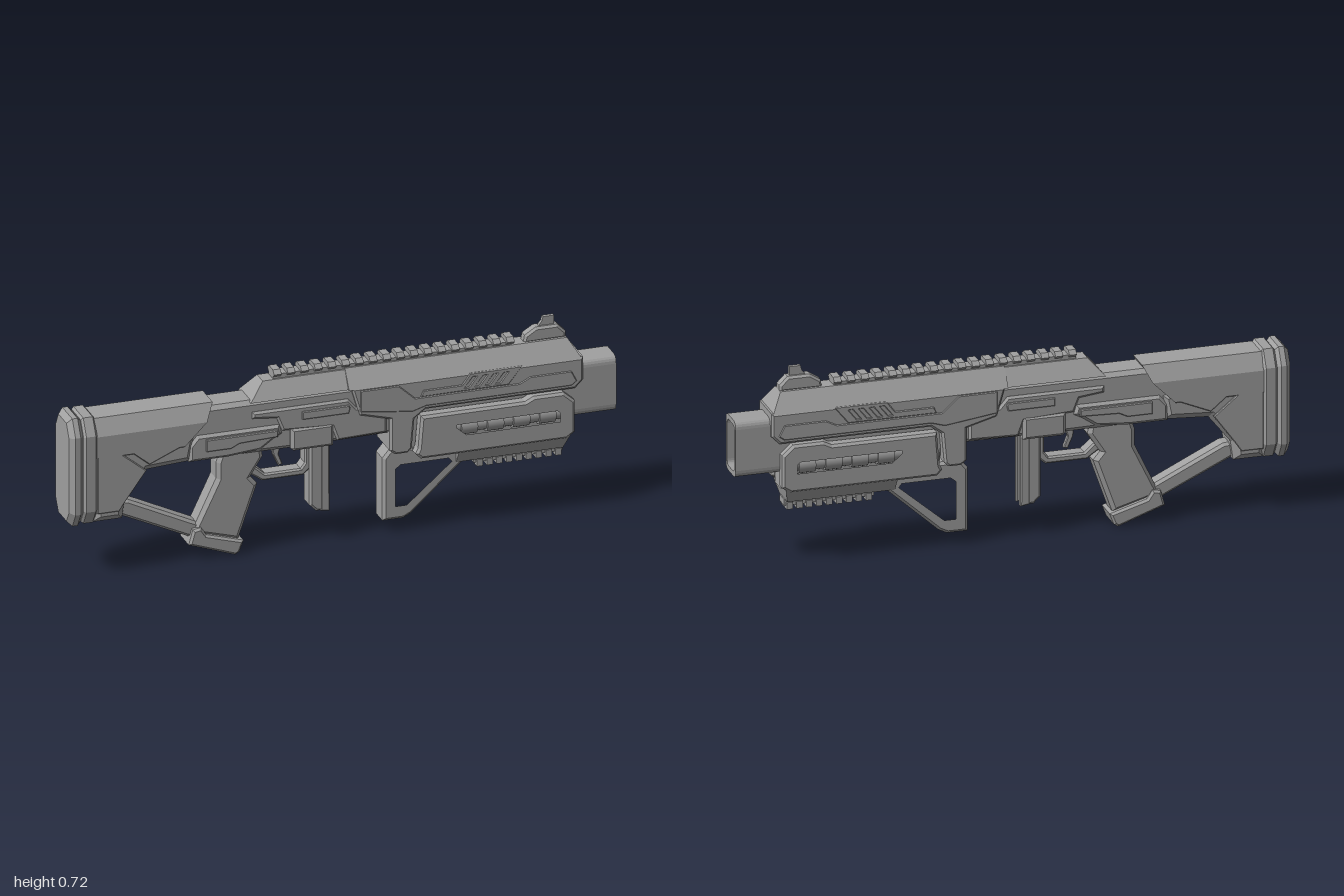
import * as THREE from 'three';

const gray = new THREE.MeshStandardMaterial({ color: 0xa0a0a0 });
gray.name = 'gunmetal gray';

const toShape = (pts, holes = []) => {
  const s = new THREE.Shape(pts.map(p => new THREE.Vector2(...p)));
  holes.forEach(h => s.holes.push(new THREE.Path(h.map(p => new THREE.Vector2(...p)))));
  return s;
};

// Extrusion with a chamfer that stays inside the outline, centred on z
function extrude(shape, half, bevel) {
  const g = new THREE.ExtrudeGeometry(shape, {
    depth: 2 * (half - bevel), bevelEnabled: bevel > 0, bevelThickness: bevel,
    bevelSize: bevel, bevelOffset: -bevel, bevelSegments: 1, curveSegments: 5,
  });
  return g.translate(0, 0, bevel - half);
}

// Box that narrows from a bottom rectangle to a top rectangle: [x0, x1, y, halfZ]
function frustum(a, b) {
  const g = new THREE.BoxGeometry(1, 1, 1).toNonIndexed();
  const p = g.attributes.position;
  for (let i = 0; i < p.count; i++) {
    const e = p.getY(i) < 0 ? a : b;
    p.setXYZ(i, p.getX(i) < 0 ? e[0] : e[1], e[2], Math.sign(p.getZ(i)) * e[3]);
  }
  g.computeVertexNormals();
  return g;
}

function roundedRect(hw, y0, y1, r, Type = THREE.Shape) {
  const s = new Type();
  s.moveTo(-hw + r, y0);
  s.lineTo(hw - r, y0);
  s.quadraticCurveTo(hw, y0, hw, y0 + r);
  s.lineTo(hw, y1 - r);
  s.quadraticCurveTo(hw, y1, hw - r, y1);
  s.lineTo(-hw + r, y1);
  s.quadraticCurveTo(-hw, y1, -hw, y1 - r);
  s.lineTo(-hw, y0 + r);
  s.quadraticCurveTo(-hw, y0, -hw + r, y0);
  return s;
}

export function createModel() {
  const model = new THREE.Group();
  const add = (name, geo) => {
    const m = new THREE.Mesh(geo, gray);
    m.name = name;
    model.add(m);
    return m;
  };
  // Side profile in x, y
  const slab = (name, pts, half, bevel = 0.01, holes = []) =>
    add(name, extrude(toShape(pts, holes), half, bevel));
  // Section in z, y swept from x0 to x1
  const sweep = (name, shape, x0, x1, bevel = 0) =>
    add(name, extrude(shape, (x1 - x0) / 2, bevel).rotateY(Math.PI / 2).translate((x0 + x1) / 2, 0, 0));
  const box = (name, x0, x1, y0, y1, half) =>
    add(name, new THREE.BoxGeometry(x1 - x0, y1 - y0, half * 2).translate((x0 + x1) / 2, (y0 + y1) / 2, 0));
  // Thin plates mirrored on both sides
  const plates = (name, pts, z, t = 0.012, holes = []) => [1, -1].forEach(s =>
    add(name, extrude(toShape(pts, holes), t / 2, 0.003).translate(0, 0, s * (z + t / 2 - 0.003))));

  // Stock
  const section = (w, y0, y1, cz, c0, c1) => toShape([
    [-w + cz, y0], [w - cz, y0], [w, y0 + c0], [w, y1 - c1],
    [w - cz, y1], [-w + cz, y1], [-w, y1 - c1], [-w, y0 + c0]]);
  sweep('buttPad', section(0.088, 0.195, 0.6, 0.035, 0.055, 0.06), -1, -0.945, 0.018);
  sweep('buttPadCollar', section(0.088, 0.2, 0.598, 0.035, 0.055, 0.06), -0.95, -0.9, 0.008);
  const tube = sweep('stockUpper', section(0.082, 0.43, 0.59, 0.03, 0.02, 0.06), -0.905, -0.47);
  const tp = tube.geometry.attributes.position;
  for (let i = 0; i < tp.count; i++)
    if (tp.getX(i) > -0.6) tp.setX(i, -0.47 - Math.max(0, 0.56 - tp.getY(i)) * 1.0);
  tube.geometry.computeVertexNormals();
  slab('stockLower', [[-0.91, 0.5], [-0.62, 0.5], [-0.53, 0.48], [-0.55, 0.38], [-0.71, 0.37],
    [-0.79, 0.27], [-0.8, 0.2], [-0.91, 0.2]], 0.074, 0.025);
  plates('stockPanel', [[-0.9, 0.47], [-0.83, 0.47], [-0.72, 0.38], [-0.8, 0.27], [-0.82, 0.24], [-0.9, 0.24]], 0.073);
  plates('stockStripe', [[-0.8, 0.52], [-0.6, 0.5], [-0.54, 0.505], [-0.57, 0.46], [-0.71, 0.4], [-0.83, 0.5]], 0.073);
  slab('stockStrut', [[-0.83, 0.26], [-0.77, 0.255], [-0.51, 0.13], [-0.53, 0.075], [-0.83, 0.215]], 0.033);

  // Rear receiver
  slab('receiver', [[-0.62, 0.56], [-0.48, 0.575], [0.2, 0.575], [0.2, 0.38], [-0.2, 0.375],
    [-0.6, 0.38]], 0.06, 0.015);
  slab('receiverCheek', [[-0.33, 0.535], [0.02, 0.535], [0.05, 0.5], [0.16, 0.47], [0.16, 0.39],
    [-0.02, 0.385], [-0.04, 0.44], [-0.22, 0.45], [-0.24, 0.5], [-0.33, 0.51]], 0.069, 0.008);
  slab('gripFrame', [[-0.56, 0.44], [-0.53, 0.475], [-0.23, 0.475], [-0.22, 0.44], [-0.25, 0.425],
    [-0.3, 0.39], [-0.42, 0.38], [-0.56, 0.38]], 0.07, 0.01);
  plates('gripFrameBar', [[-0.5, 0.46], [-0.24, 0.46], [-0.24, 0.435], [-0.38, 0.43], [-0.41, 0.415], [-0.5, 0.415]], 0.069);
  plates('receiverBar', [[-0.15, 0.515], [0.02, 0.515], [0.025, 0.505], [0.02, 0.485], [-0.15, 0.485]], 0.068, 0.01);

  // Grip, trigger and guard
  slab('grip', [[-0.43, 0.41], [-0.29, 0.41], [-0.28, 0.35], [-0.325, 0.28], [-0.3, 0.25],
    [-0.37, 0.05], [-0.54, 0.1], [-0.45, 0.29], [-0.45, 0.35]], 0.042, 0.014);
  slab('gripBase', [[-0.555, 0.06], [-0.54, 0.115], [-0.51, 0.12], [-0.49, 0.09], [-0.355, 0.05],
    [-0.37, 0.01], [-0.385, 0]], 0.053, 0.008);
  slab('triggerGuard', [[-0.33, 0.29], [-0.28, 0.255], [-0.13, 0.255], [-0.1, 0.28], [-0.1, 0.39],
    [-0.125, 0.39], [-0.125, 0.3], [-0.14, 0.28], [-0.27, 0.28], [-0.31, 0.315]], 0.028, 0.006);
  slab('trigger', [[-0.24, 0.39], [-0.2, 0.39], [-0.215, 0.34], [-0.2, 0.3], [-0.215, 0.295], [-0.235, 0.34]], 0.01, 0.003);

  // Magazine
  slab('magazineWell', [[-0.19, 0.455], [-0.035, 0.455], [-0.035, 0.37], [-0.18, 0.37], [-0.19, 0.38]], 0.074, 0.01);
  slab('magazine', [[-0.11, 0.4], [-0.06, 0.4], [-0.06, 0.115], [-0.085, 0.115], [-0.11, 0.14]], 0.036, 0.008);
  [1, -1].forEach(s => add('magazineRib', extrude(toShape(
    [[-0.07, 0.4], [-0.037, 0.4], [-0.037, 0.11], [-0.07, 0.115]]), 0.011, 0.004).translate(0, 0, s * 0.024)));

  // Upper housing with sloping shoulders
  slab('housing', [[0.03, 0.575], [0.875, 0.575], [0.875, 0.49], [0.845, 0.46], [0.3, 0.46], [0.26, 0.43],
    [0.25, 0.32], [0.235, 0.305], [0.19, 0.305], [0.17, 0.32], [0.17, 0.44], [0.06, 0.47]], 0.076, 0.008);
  add('housingRoof', frustum([0.02, 0.87, 0.57, 0.075], [0.02, 0.83, 0.637, 0.03]));
  add('rearRoof', frustum([-0.335, 0.05, 0.57, 0.066], [-0.28, 0.05, 0.632, 0.03]));
  plates('housingPanel', [[0.06, 0.565], [0.2, 0.565], [0.26, 0.51], [0.64, 0.51], [0.68, 0.53], [0.83, 0.53],
    [0.85, 0.49], [0.83, 0.475], [0.3, 0.475], [0.25, 0.46], [0.06, 0.485]], 0.074, 0.008);
  plates('ventFrame', [[0.29, 0.535], [0.43, 0.535], [0.46, 0.575], [0.65, 0.575], [0.6, 0.512], [0.28, 0.512]], 0.075, 0.008,
    [0, 1, 2, 3].map(i => [[0.44, 0.523], [0.455, 0.523], [0.485, 0.56], [0.47, 0.56]].map(([x, y]) => [x + i * 0.038, y])));

  // Muzzle
  const muzzle = roundedRect(0.057, 0.345, 0.553, 0.028);
  muzzle.holes.push(roundedRect(0.041, 0.363, 0.535, 0.02, THREE.Path));
  sweep('muzzle', muzzle, 0.78, 1);
  box('muzzleBackWall', 0.76, 0.79, 0.36, 0.54, 0.05);

  // Handguard with a window onto a ringed tube
  slab('handguardCore', [[0.24, 0.46], [0.82, 0.46], [0.83, 0.28], [0.26, 0.28]], 0.04, 0.005);
  const windowHole = [[0.4, 0.4], [0.78, 0.4], [0.795, 0.385], [0.795, 0.34], [0.44, 0.34], [0.4, 0.375]];
  [1, -1].forEach(s => add('handguardSide', extrude(toShape([[0.28, 0.44], [0.66, 0.44], [0.69, 0.455], [0.8, 0.455],
    [0.84, 0.42], [0.84, 0.3], [0.81, 0.28], [0.28, 0.28], [0.26, 0.3], [0.27, 0.32]], [windowHole]),
  0.025, 0.009).translate(0, 0, s * 0.062)));
  plates('handguardLip', [[0.28, 0.335], [0.4, 0.335], [0.43, 0.31], [0.82, 0.31], [0.82, 0.295], [0.28, 0.295]], 0.083, 0.006);
  [1, -1].forEach(s => {
    const rod = (name, x0, x1, r) => add(name, new THREE.CylinderGeometry(r, r, x1 - x0, 20)
      .rotateZ(Math.PI / 2).translate((x0 + x1) / 2, 0.37, s * 0.043));
    rod('innerTube', 0.39, 0.8, 0.027);
    for (let i = 0; i < 4; i++) rod('innerRing', 0.43 + i * 0.095, 0.49 + i * 0.095, 0.034);
  });
  add('handguardKeel', frustum([0.42, 0.81, 0.232, 0.045], [0.42, 0.825, 0.29, 0.08]));
  box('lowerRail', 0.49, 0.815, 0.212, 0.235, 0.025);
  for (let i = 0; i < 9; i++) box('lowerRailTooth', 0.5 + i * 0.0358, 0.522 + i * 0.0358, 0.2, 0.225, 0.035);

  // Triangular foregrip
  slab('foregrip', [[0.155, 0.28], [0.18, 0.31], [0.28, 0.31], [0.5, 0.28], [0.5, 0.232], [0.45, 0.232],
    [0.26, 0.06], [0.23, 0.045], [0.155, 0.045]], 0.042, 0.01,
  [[[0.19, 0.24], [0.215, 0.26], [0.4, 0.26], [0.42, 0.235], [0.245, 0.085], [0.19, 0.085]]]);

  // Top rail
  box('topRail', -0.24, 0.63, 0.63, 0.648, 0.024);
  const tooth = toShape([[-0.022, 0.638], [0.022, 0.638], [0.036, 0.651], [0.022, 0.665], [-0.022, 0.665], [-0.036, 0.651]]);
  for (let i = 0; i < 18; i++) sweep('topRailTooth', tooth, -0.24 + i * 0.05, -0.213 + i * 0.05);

  // Front sight
  slab('sightBase', [[0.675, 0.632], [0.83, 0.632], [0.83, 0.655], [0.8, 0.685], [0.72, 0.685], [0.68, 0.66]], 0.022, 0.008);
  slab('sightBlade', [[0.73, 0.68], [0.79, 0.68], [0.79, 0.717], [0.75, 0.717], [0.745, 0.7]], 0.007, 0);

  return model;
}
